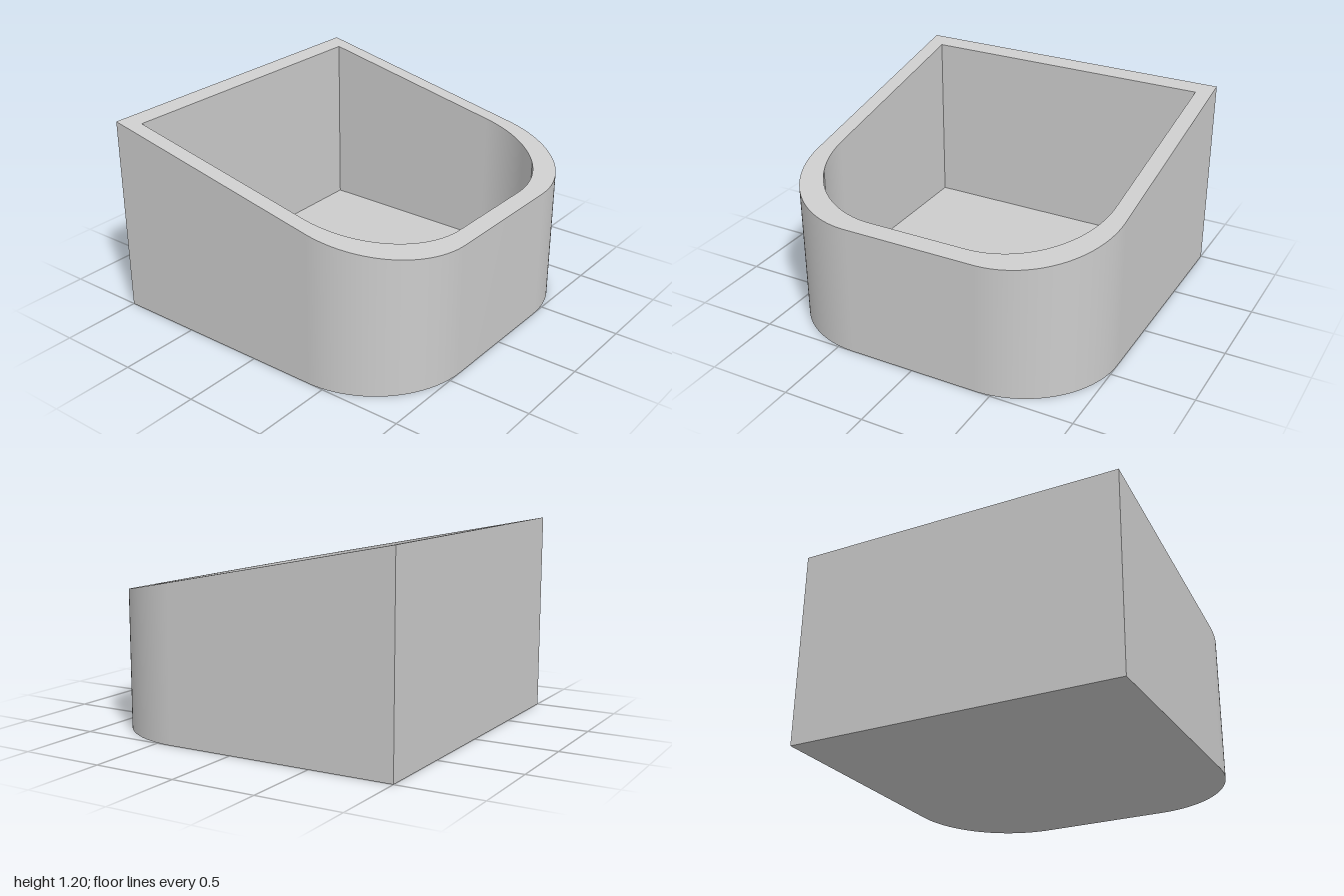
import * as THREE from 'three';
import { toCreasedNormals } from 'three/addons/utils/BufferGeometryUtils.js';

const RADIUS = 0.6, FLOOR = 0.1;
const slopedTop = (x) => 1 - 0.2 * x;

// Plan outline: square at -x, two rounded corners at +x
function outline(half) {
  const s = new THREE.Shape();
  const c = half - RADIUS;
  s.moveTo(-half, -half);
  s.lineTo(c, -half);
  s.absarc(c, -c, RADIUS, -Math.PI / 2, 0, false);
  s.lineTo(half, c);
  s.absarc(c, c, RADIUS, 0, Math.PI / 2, false);
  s.lineTo(-half, half);
  s.closePath();
  return s;
}

// Horizontal or sloped face filling an outline
function cap(shape, height, down = false) {
  const g = new THREE.ShapeGeometry(shape, 32);
  g.rotateX(down ? Math.PI / 2 : -Math.PI / 2);
  const p = g.attributes.position;
  for (let i = 0; i < p.count; i++) p.setY(i, height(p.getX(i)));
  g.computeVertexNormals();
  return g;
}

// Vertical wall along an outline, cut off by the sloped top
function wall(shape, bottom, inward = false) {
  const pts = shape.getPoints(32).filter((p, i, a) => p.distanceTo(a[(i + 1) % a.length]) > 1e-5);
  if (inward) pts.reverse();
  const pos = [];
  pts.forEach((p, i) => {
    const q = pts[(i + 1) % pts.length];
    const a = [p.x, bottom, -p.y], b = [q.x, bottom, -q.y];
    const c = [q.x, slopedTop(q.x), -q.y], d = [p.x, slopedTop(p.x), -p.y];
    pos.push(...a, ...b, ...c, ...a, ...c, ...d);
  });
  const g = new THREE.BufferGeometry();
  g.setAttribute('position', new THREE.Float32BufferAttribute(pos, 3));
  return toCreasedNormals(g, 0.5);
}

export function createModel() {
  const group = new THREE.Group();
  group.name = 'slopedBin';
  const material = new THREE.MeshStandardMaterial({ color: 0xcccccc });
  const add = (name, geometry) => {
    const mesh = new THREE.Mesh(geometry, material);
    mesh.name = name;
    group.add(mesh);
  };

  const outer = outline(1), inner = outline(0.9);
  const ring = outline(1);
  ring.holes.push(inner);

  add('outerWall', wall(outer, 0));
  add('innerWall', wall(inner, FLOOR, true));
  add('slopedRim', cap(ring, slopedTop));
  add('floor', cap(inner, () => FLOOR));
  add('base', cap(outer, () => 0, true));
  return group;
}
